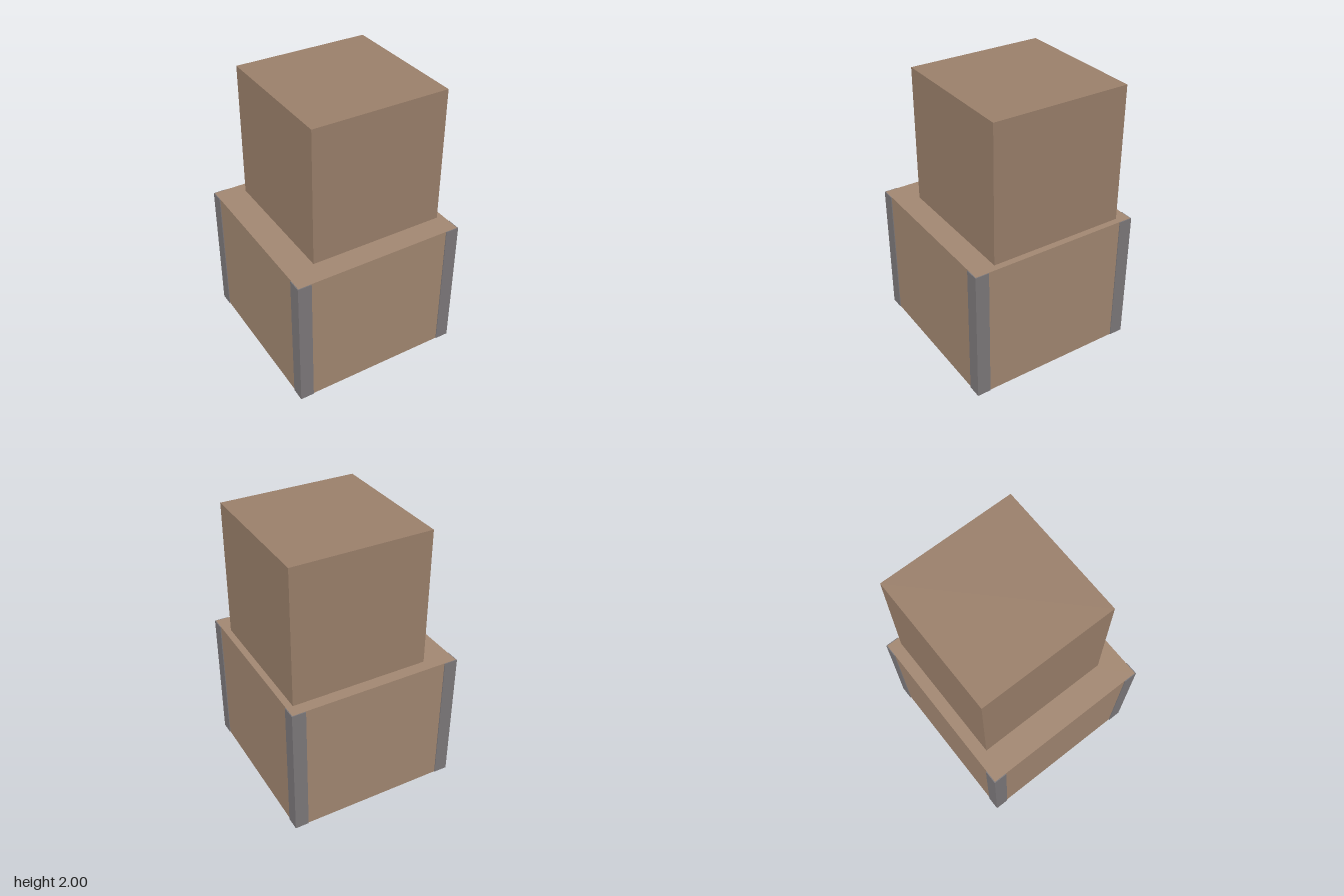
import * as THREE from 'three';

export function createModel() {
  const model = new THREE.Group();
  const lowerMat = new THREE.MeshStandardMaterial({ color: 0xa38872 });
  const upperMat = new THREE.MeshStandardMaterial({ color: 0x9b806b });
  const postMat = new THREE.MeshStandardMaterial({ color: 0x7d797b });

  function box(name, material, [w, h, d], [x, y, z]) {
    const mesh = new THREE.Mesh(new THREE.BoxGeometry(w, h, d), material);
    mesh.name = name;
    mesh.position.set(x, y, z);
    model.add(mesh);
  }

  // Large crate, with a smaller one set off-centre on top
  box('lowerCrate', lowerMat, [1.254, 1, 1.254], [0, 0.5, 0]);
  box('upperCrate', upperMat, [1, 1, 1], [0.08, 1.5, -0.04]);

  // Corner guards stand slightly proud of the sides, a hair below the lid
  for (const [sx, end] of [[1, 'Left'], [-1, 'Right']]) {
    for (const [sz, side] of [[1, 'front'], [-1, 'back']]) {
      box(`${side}${end}CornerGuard`, postMat, [0.1, 0.998, 0.1], [sx * 0.583, 0.5, sz * 0.583]);
    }
  }
  return model;
}
